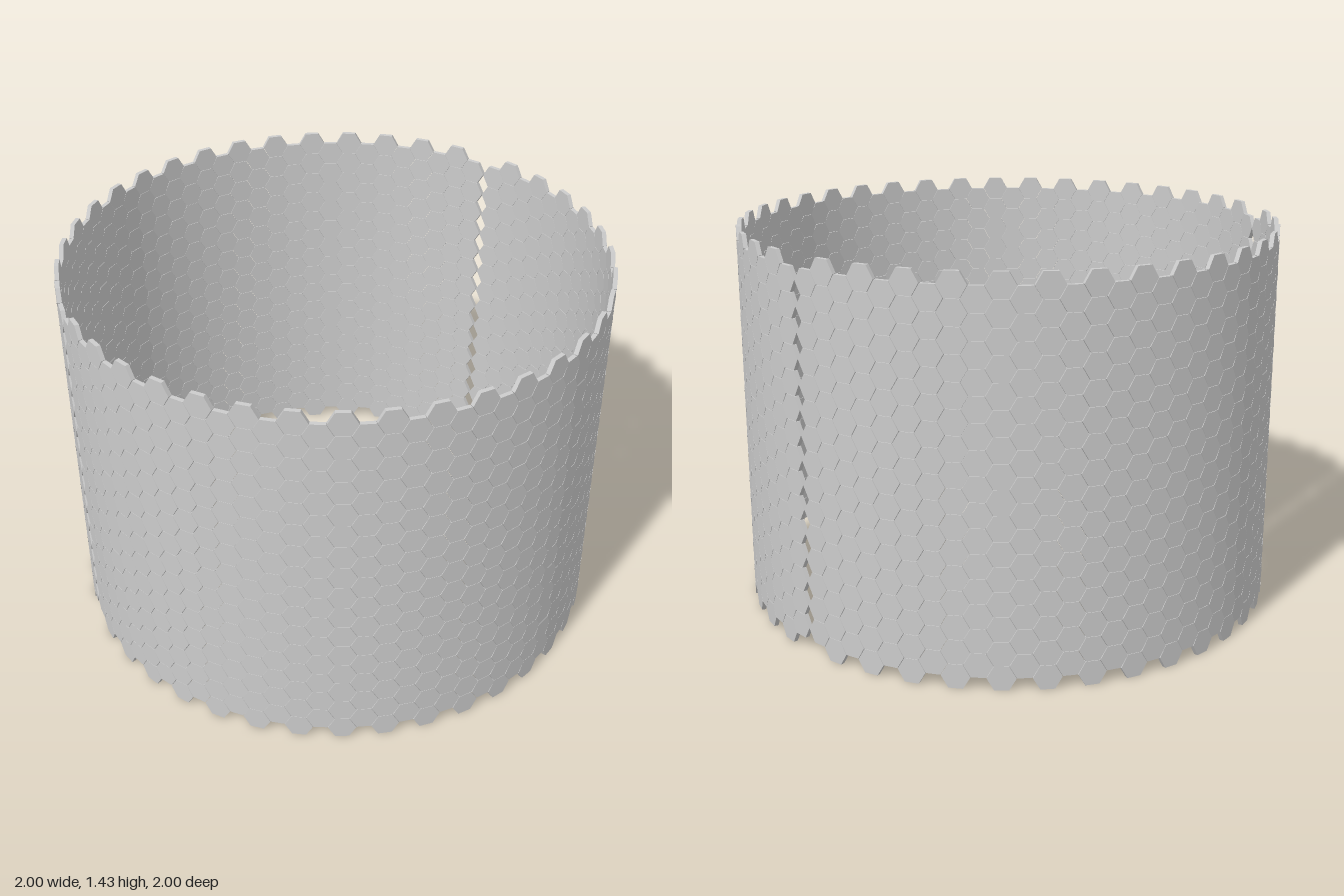
import * as THREE from 'three';
import { mergeGeometries } from 'three/addons/utils/BufferGeometryUtils.js';

const RADIUS = 0.99;        // middle of the wall
const THICKNESS = 0.016;
const ROWS = 16;            // tiles in a tall column; short columns have one less
const HEIGHT = 1.43;
const ROW = HEIGHT / ROWS;
const PANELS = [47, 33];    // columns in the two curved panels
const SEAM = THREE.MathUtils.degToRad(136.7);

// Hexagon corner angle such that all columns and both seams close the circle
const COLUMNS = PANELS[0] + PANELS[1];
const CORNER = (2 * Math.PI) / (1.5 * (COLUMNS - 2) + 4);
const PITCH = 1.5 * CORNER;

// One flat hexagonal tile, points left and right, facing +z
function makeTile() {
  const tile = new THREE.CylinderGeometry(1, 1, THICKNESS, 6);
  tile.rotateY(Math.PI / 6);
  tile.rotateX(Math.PI / 2);
  const fit = 0.985;        // hairline joint between tiles
  tile.scale(CORNER * RADIUS * fit, (ROW / Math.sqrt(3)) * fit, 1);
  return tile;
}

// Curved panel of alternating short and tall columns, short at both ends
function makePanel(tile, columns, startAngle) {
  const parts = [];
  for (let c = 0; c < columns; c++) {
    const tall = c % 2 === 1;
    const angle = startAngle - CORNER - c * PITCH;
    const count = tall ? ROWS : ROWS - 1;
    for (let r = 0; r < count; r++) {
      const part = tile.clone();
      part.translate(0, (r + (tall ? 0.5 : 1)) * ROW, RADIUS);
      part.rotateY(angle);
      parts.push(part);
    }
  }
  return mergeGeometries(parts);
}

export function createModel() {
  const group = new THREE.Group();
  group.name = 'hexagonTileRing';
  const material = new THREE.MeshStandardMaterial({ color: 0xcccccc, flatShading: true });
  const tile = makeTile();

  // Two panels around the ring, meeting at open seams
  let angle = SEAM;
  PANELS.forEach((columns, i) => {
    const panel = new THREE.Mesh(makePanel(tile, columns, angle), material);
    panel.name = i === 0 ? 'frontTilePanel' : 'backTilePanel';
    group.add(panel);
    angle -= (columns - 1) * PITCH + 2 * CORNER;
  });
  return group;
}
